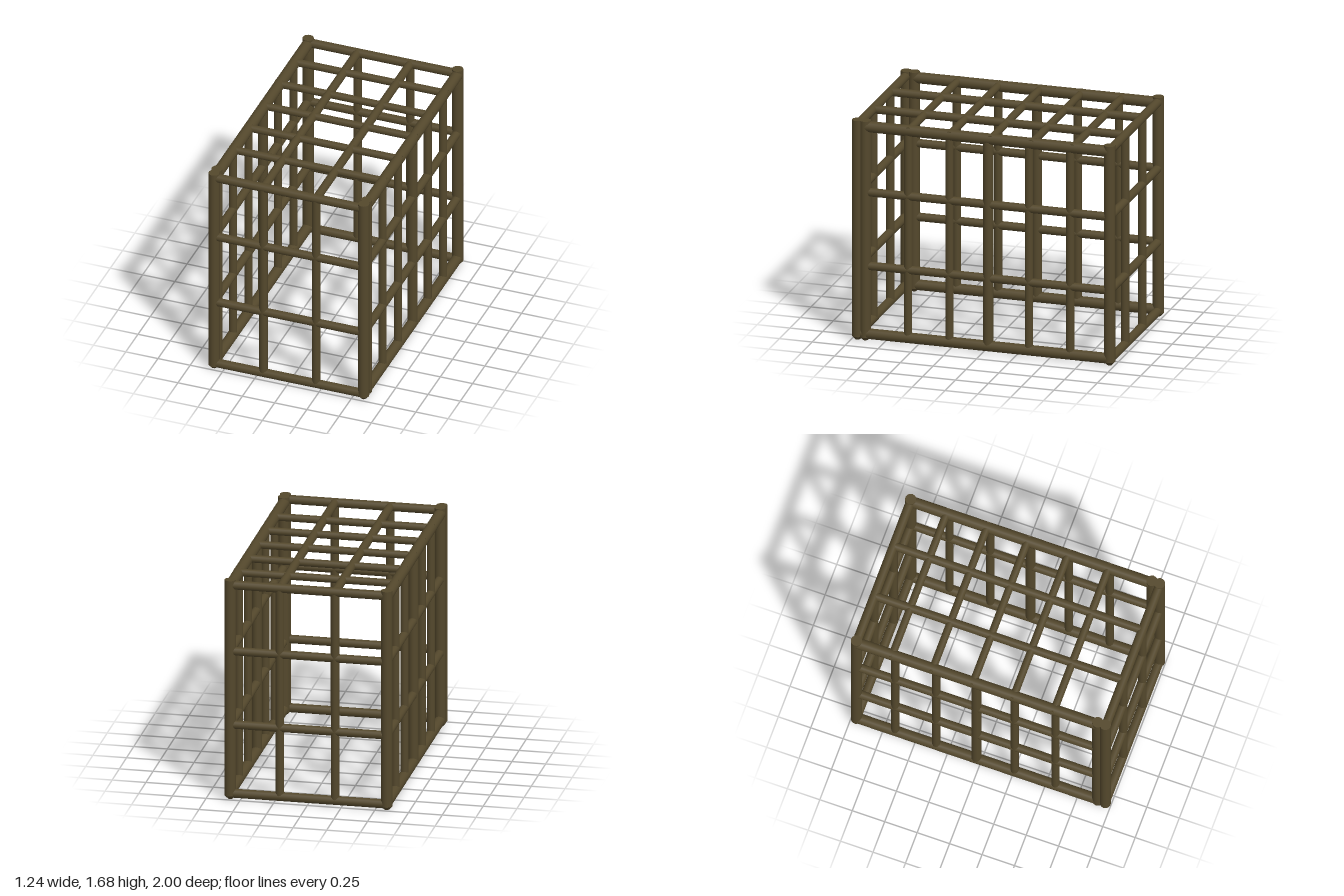
import * as THREE from 'three';

export function createModel() {
  const model = new THREE.Group();
  model.name = 'barredCage';
  const wood = new THREE.MeshStandardMaterial({ color: 0x54482c });
  wood.name = 'dark olive wood';

  // Round pole between two points
  const up = new THREE.Vector3(0, 1, 0);
  function pole(name, from, to, radius, parent) {
    const a = new THREE.Vector3(...from);
    const b = new THREE.Vector3(...to);
    const dir = b.clone().sub(a);
    const mesh = new THREE.Mesh(new THREE.CylinderGeometry(radius, radius, dir.length(), 16), wood);
    mesh.position.copy(a).add(b).multiplyScalar(0.5);
    mesh.quaternion.setFromUnitVectors(up, dir.normalize());
    mesh.name = name;
    parent.add(mesh);
  }

  function section(name) {
    const group = new THREE.Group();
    group.name = name;
    model.add(group);
    return group;
  }

  const X = 0.58, FRONT = 0.959, INNER = 0.9, BACK = -0.959;
  const POST = 0.041, BAR = 0.031;
  const levels = [0.568, 1.132];
  const barX = [-0.197, 0.213];

  // Corner posts with a short tapered foot; the front has a doubled pair
  const posts = section('cornerPosts');
  for (const x of [-X, X]) {
    for (const z of [FRONT, INNER, BACK]) {
      pole('cornerPost', [x, 0.025, z], [x, 1.68, z], POST, posts);
      const foot = new THREE.Mesh(new THREE.CylinderGeometry(POST, 0.018, 0.025, 16), wood);
      foot.position.set(x, 0.0125, z);
      foot.name = 'postFoot';
      posts.add(foot);
    }
  }

  // Front gate and back panel
  for (const [name, z] of [['frontGate', FRONT], ['backPanel', BACK]]) {
    const panel = section(name);
    for (const y of [0.04, 1.64]) pole('endRail', [-X, y, z], [X, y, z], 0.033, panel);
    for (const y of levels) pole('crossBar', [-X, y, z], [X, y, z], BAR, panel);
    for (const x of barX) pole('uprightBar', [x, 0.04, z], [x, 1.64, z], BAR, panel);
  }

  // Side panels
  for (const [name, x] of [['leftPanel', X], ['rightPanel', -X]]) {
    const panel = section(name);
    pole('bottomRail', [x, 0.048, 0.93], [x, 0.048, -0.975], 0.039, panel);
    pole('topRail', [x, 1.633, INNER], [x, 1.633, BACK], 0.041, panel);
    for (const y of levels) pole('sideBar', [x, y, INNER], [x, y, BACK], BAR, panel);
    for (const z of [0.575, 0.26, -0.035, -0.345, -0.66]) {
      pole('sideUpright', [x, 0.05, z], [x, 1.633, z], z === -0.035 ? 0.037 : 0.03, panel);
    }
  }

  // Roof grid
  const roof = section('roof');
  for (const x of barX) pole('roofBeam', [x, 1.64, FRONT], [x, 1.64, BACK], BAR, roof);
  for (let i = 0; i < 5; i++) {
    const z = 0.566 - i * 0.312;
    pole('roofBar', [-0.61, 1.64, z], [0.61, 1.64, z], 0.028, roof);
  }

  return model;
}
